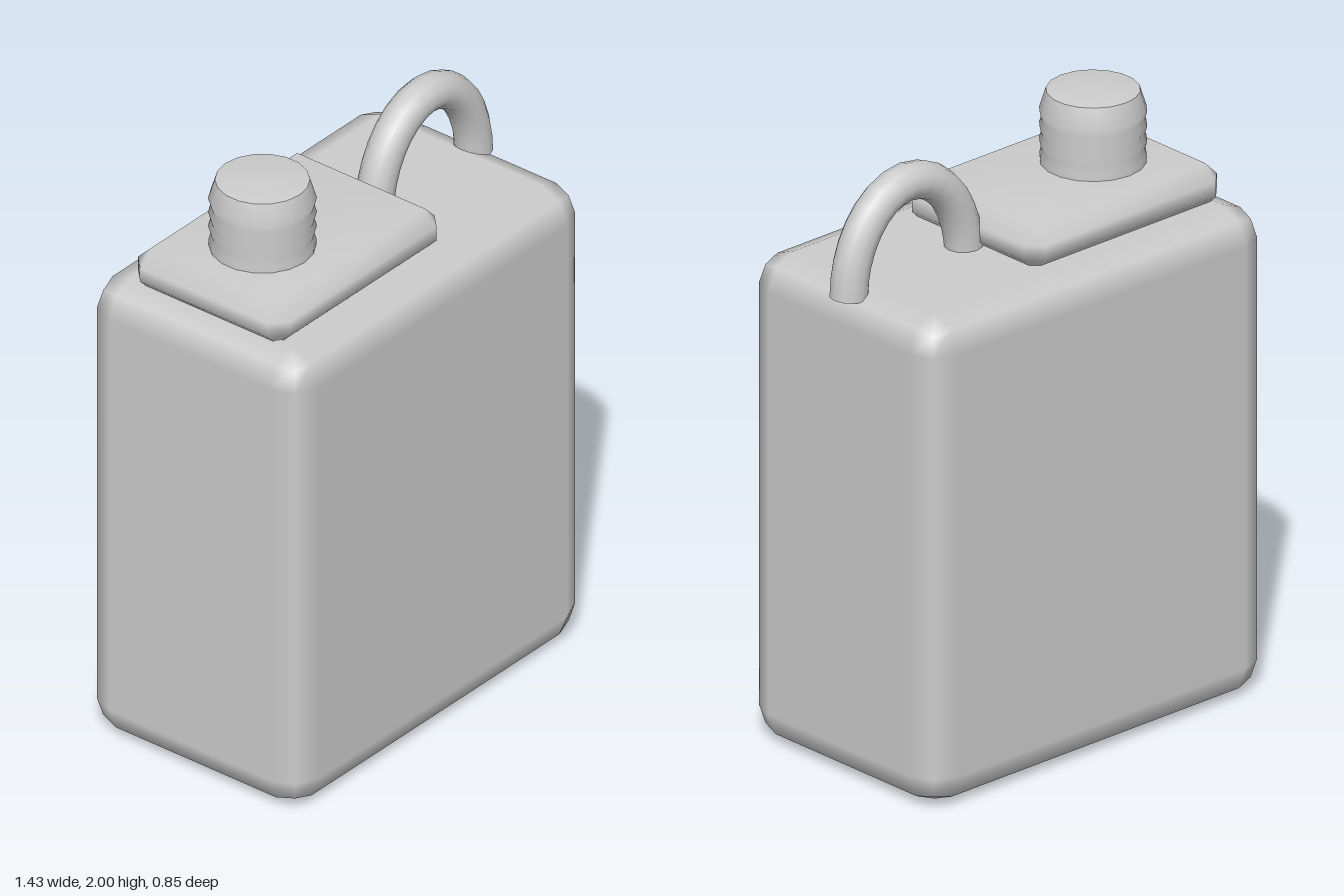
import * as THREE from 'three';
import { mergeVertices } from 'three/addons/utils/BufferGeometryUtils.js';
import { RoundedBoxGeometry } from 'three/addons/geometries/RoundedBoxGeometry.js';
import { ConvexGeometry } from 'three/addons/geometries/ConvexGeometry.js';

// Box with a single bevel on every edge, softly shaded
function bevelledBox(w, h, d, b) {
  const points = [];
  for (const x of [-w / 2, w / 2]) for (const y of [-h / 2, h / 2]) for (const z of [-d / 2, d / 2]) {
    const ix = x - Math.sign(x) * b, iy = y - Math.sign(y) * b, iz = z - Math.sign(z) * b;
    points.push(new THREE.Vector3(x, iy, iz), new THREE.Vector3(ix, y, iz), new THREE.Vector3(ix, iy, z));
  }
  const raw = new ConvexGeometry(points);
  raw.deleteAttribute('normal');
  const geometry = mergeVertices(raw, 1e-4);
  geometry.computeVertexNormals();
  return geometry;
}

export function createModel() {
  const model = new THREE.Group();
  model.name = 'canister';
  const grey = new THREE.MeshStandardMaterial({ color: 0xcccccc });
  grey.name = 'grey';

  function add(name, geometry, x, y, z, parent = model) {
    const mesh = new THREE.Mesh(geometry, grey);
    mesh.name = name;
    mesh.position.set(x, y, z);
    parent.add(mesh);
    return mesh;
  }

  // Tall rounded tank
  add('body', new RoundedBoxGeometry(1.415, 1.63, 0.85, 1, 0.108), -0.0125, 0.815, 0);

  // Raised plate under the cap
  add('capPlate', bevelledBox(0.807, 0.145, 0.6, 0.048), -0.2475, 1.6775, 0);

  // Screw cap with shallow grip grooves and a slightly domed top
  const profile = [
    [0.163, 1.72], [0.166, 1.77], [0.159, 1.795], [0.167, 1.82], [0.159, 1.845],
    [0.167, 1.87], [0.159, 1.895], [0.167, 1.92], [0.146, 1.988],
  ].map(([r, y]) => new THREE.Vector2(r, y));
  add('cap', new THREE.LatheGeometry(profile, 18), -0.368, 0, 0);
  const top = [[0.146, 1.988], [0.07, 1.999], [0, 2]].map(([r, y]) => new THREE.Vector2(r, y));
  add('capTop', new THREE.LatheGeometry(top, 18), -0.368, 0, 0);

  // Arched carrying handle
  const handle = new THREE.Group();
  handle.name = 'handle';
  model.add(handle);
  const rx = 0.24, ry = 0.314, tube = 0.061;
  const arc = [];
  for (let i = 0; i <= 16; i++) {
    const a = Math.PI * (1 - i / 16);
    arc.push(new THREE.Vector3(rx * Math.cos(a), ry * Math.sin(a), 0));
  }
  const path = new THREE.CatmullRomCurve3(arc);
  add('handleArch', new THREE.TubeGeometry(path, 16, tube, 12), 0.412, 1.6, 0, handle);
  for (const side of [-1, 1]) {
    const end = add('handleEnd', new THREE.CircleGeometry(tube, 12), 0.412 + side * rx, 1.6, 0, handle);
    end.rotation.x = Math.PI / 2;
  }

  return model;
}
